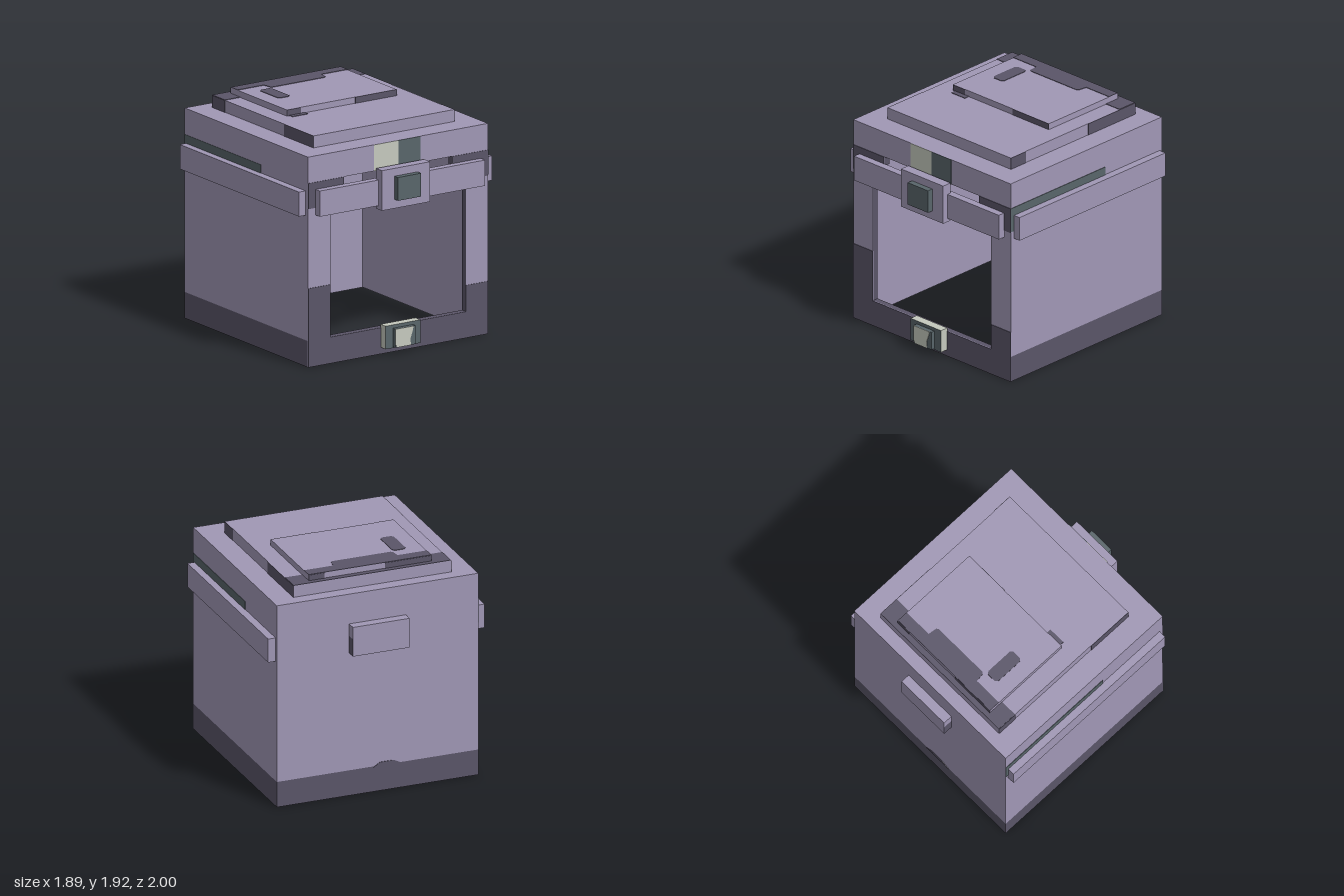
import * as THREE from 'three';

const material = (name, color) => {
  const m = new THREE.MeshStandardMaterial({ color });
  m.name = name;
  return m;
};

export function createModel() {
  const model = new THREE.Group();
  model.name = 'crate';
  const lilac = material('lilac', 0xa097b5);
  const dark = material('darkPurple', 0x5a5568);
  const green = material('slateGreen', 0x58656a);
  const pale = material('paleGrey', 0xc5c9be);

  // Box from its bounds; mats is one material or six in the order +x -x +y -y +z -z
  const box = (name, [x0, x1], [y0, y1], [z0, z1], mats) => {
    const mesh = new THREE.Mesh(new THREE.BoxGeometry(x1 - x0, y1 - y0, z1 - z0), mats);
    mesh.position.set((x0 + x1) / 2, (y0 + y1) / 2, (z0 + z1) / 2);
    mesh.name = name;
    model.add(mesh);
    return mesh;
  };
  const extrude = (name, shape, depth, z, mats) => {
    const geo = new THREE.ExtrudeGeometry(shape, { depth, bevelEnabled: false });
    const mesh = new THREE.Mesh(geo, mats);
    mesh.position.z = z;
    mesh.name = name;
    model.add(mesh);
    return mesh;
  };
  const polygon = (points) => new THREE.Shape(points.map(([x, y]) => new THREE.Vector2(x, y)));

  const W = 0.878, F = 0.835, B = -0.92, H = 1.76, T = 0.06, E = 0.004, S = 0.22;

  // Side walls, back wall and roof; the lower band is dark outside and underneath
  for (const s of [1, -1]) {
    const x = [s * W, s * (W - T)].sort((a, b) => a - b);
    const lower = [lilac, lilac, lilac, dark, dark, dark];
    lower[s > 0 ? 0 : 1] = dark;
    box('sideWall', x, [S, H], [B, F - 0.005], lilac);
    box('sideWallBase', x, [0, S], [B, F - 0.005], lower);
  }
  box('backWall', [T - W, W - T], [S, H], [B, B + T], lilac);
  box('backWallBase', [T - W, W - T], [0, S], [B, B + T], [lilac, lilac, lilac, dark, lilac, dark]);
  extrude('backBandBump', polygon([[-0.22, 0.21], [0.04, 0.21], [-0.02, 0.25], [-0.14, 0.25]]), E, B - E, dark);
  box('roof', [T - W, W - T], [H - T, H], [B + T, F - 0.005], lilac);

  // Front frame with its doorway: thin lilac face over a dark lining
  const frame = (half, top) => {
    const shape = polygon([[-half, 0], [half, 0], [half, top], [-half, top]]);
    shape.holes.push(polygon([[-0.66, S], [-0.66, 1.38], [-0.53, 1.46], [-0.53, 1.54],
      [0.53, 1.54], [0.53, 1.46], [0.66, 1.38], [0.66, S]]));
    return shape;
  };
  extrude('frontFace', frame(W, H), 0.005, F - 0.005, lilac);
  extrude('frontLining', frame(W - T, H - T), 0.05, F - 0.055, dark);

  // Painted areas on the front
  const front = [F, F + E];
  box('frontSillPaint', [-W, W], [0, S], front, dark);
  box('rightPillarPaint', [-W, -0.66], [S, 0.66], front, dark);
  box('leftPillarPaint', [0.66, W], [S, 0.44], front, dark);
  box('palePanel', [-0.235, 0], [1.54, H], front, pale);
  box('greenPanel', [0, 0.215], [1.54, H], front, green);
  for (const s of [1, -1]) {
    extrude('frontBandPaint', polygon([[s * W, 1.325], [s * W, 1.54], [s * 0.53, 1.54],
      [s * 0.53, 1.46], [s * 0.66, 1.38], [s * 0.66, 1.325]]), E, F, dark);
  }

  // Painted stripes and rails on the sides
  box('leftSideStripe', [W, W + E], [1.33, 1.54], [-0.26, F], green);
  box('rightSideStripe', [-W - E, -W], [1.33, 1.54], [B, 0.165], green);
  box('leftRail', [W, 0.943], [1.265, 1.47], [-0.895, 0.8], lilac);
  box('rightRail', [-0.943, -W], [1.265, 1.47], [-0.895, 0.8], lilac);

  // Front rail with clasp and button
  box('frontRail', [-0.807, 0.807], [1.265, 1.48], [F, 0.9], lilac);
  box('clasp', [-0.235, 0.235], [1.235, 1.57], [0.865, 0.95], lilac);
  box('claspButton', [-0.113, 0.113], [1.31, 1.505], [0.95, 1], green);

  // Back handle, its lower ends dark
  box('handleTop', [-0.247, 0.247], [1.395, 1.5], [-1, B], lilac);
  box('handleBottom', [-0.247, 0.247], [1.245, 1.395], [-1, B], [dark, dark, lilac, dark, lilac, lilac]);

  // Lower latch
  box('latchPlate', [-0.17, 0.17], [0.055, 0.248], [F, 0.908], [pale, pale, pale, green, green, green]);
  box('latchButton', [-0.1, 0.095], [0.065, 0.22], [0.908, 0.943], green);
  extrude('latchButtonFace', polygon([[-0.1, 0.09], [-0.08, 0.065], [0.05, 0.065], [0.045, 0.12],
    [0.07, 0.19], [0.075, 0.22], [-0.1, 0.22]]), E, 0.943, pale);

  // Stepped lid
  const L = 0.685, P = 0.535, Y1 = 1.86, Y2 = 1.912;
  box('lowerLid', [-L, L], [H, Y1], [-0.81, 0.635], lilac);
  box('upperLid', [-P, P], [Y1, Y2], [-0.763, 0.033], lilac);

  // Lid paint: top faces
  const top1 = [Y1, Y1 + E], top2 = [Y2, Y2 + E];
  box('lowerLidRearPaint', [-L, L], top1, [-0.81, -0.63], dark);
  box('lowerLidSpot', [-0.51, -0.36], top1, [0.033, 0.08], dark);
  box('upperLidRearPaint', [-P, P], top2, [-0.763, -0.665], dark);
  const flat = (name, points) => {
    const mesh = extrude(name, polygon(points.map(([x, z]) => [x, -z])), E, 0, dark);
    mesh.rotation.x = -Math.PI / 2;
    mesh.position.y = Y2;
  };
  flat('upperLidTab', [[-0.28, -0.665], [-0.27, -0.59], [-0.255, -0.578], [0.255, -0.578], [0.27, -0.59], [0.28, -0.665]]);
  flat('lidSlot', [[-0.4, -0.3], [-0.38, -0.28], [-0.3, -0.28], [-0.283, -0.3],
    [-0.283, -0.54], [-0.3, -0.562], [-0.38, -0.562], [-0.4, -0.54]]);

  // Lid paint: edges
  const edge1 = [H, Y1], edge2 = [Y1, Y2];
  box('leftLidRearEdge', [L, L + E], edge1, [-0.81, -0.265], dark);
  box('leftLidFrontEdge', [L, L + E], edge1, [0.46, 0.635], dark);
  box('rightLidRearEdge', [-L - E, -L], edge1, [-0.81, -0.63], dark);
  box('rightLidFrontEdge', [-L - E, -L], edge1, [0.22, 0.635], dark);
  for (const [z, s] of [[[0.033, 0.033 + E], 1], [[-0.763 - E, -0.763], -1]]) {
    const span = (a, b) => [s * a, s * b].sort((m, n) => m - n);
    box('upperLidEdgePaint', span(-P, -0.4), edge2, z, dark);
    box('upperLidEdgePaint', span(0.13, P), edge2, z, dark);
  }
  return model;
}
